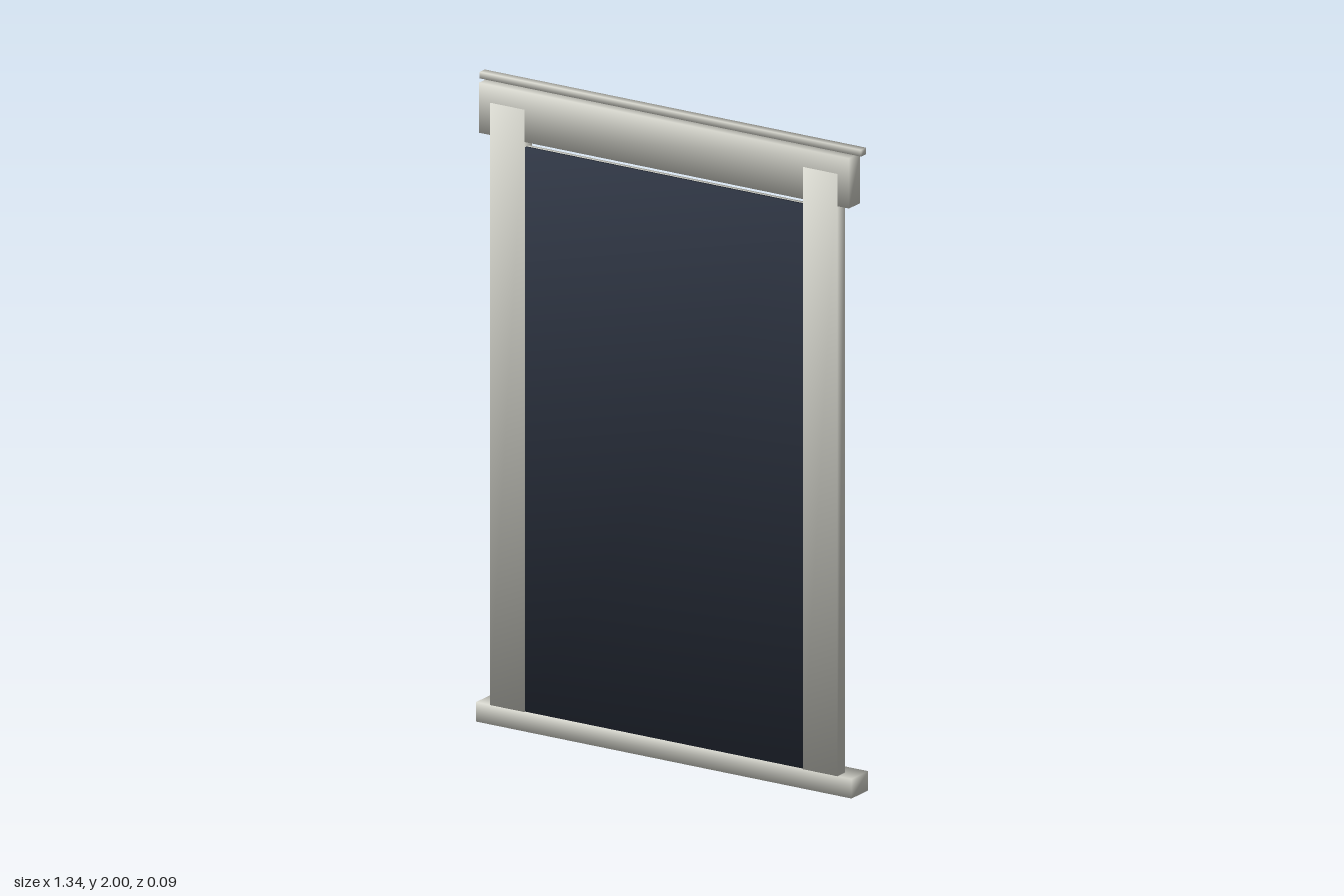
import * as THREE from 'three';

// Box given by its min and max on each axis, with corner normals shared for soft shading
function softBox(name, material, [x0, x1], [y0, y1], [z0, z1]) {
  const geo = new THREE.BoxGeometry(x1 - x0, y1 - y0, z1 - z0);
  const pos = geo.attributes.position;
  const normal = geo.attributes.normal;
  const n = new THREE.Vector3();
  for (let i = 0; i < pos.count; i++) {
    n.set(Math.sign(pos.getX(i)), Math.sign(pos.getY(i)), Math.sign(pos.getZ(i))).normalize();
    normal.setXYZ(i, n.x, n.y, n.z);
  }
  const mesh = new THREE.Mesh(geo, material);
  mesh.name = name;
  mesh.position.set((x0 + x1) / 2, (y0 + y1) / 2, (z0 + z1) / 2);
  return mesh;
}

export function createModel() {
  const model = new THREE.Group();
  model.name = 'window';

  const paint = new THREE.MeshStandardMaterial({ color: 0xdcdcd3 });
  paint.name = 'off-white paint';
  const glass = new THREE.MeshStandardMaterial({ color: 0x2f3644 });
  glass.name = 'dark glass';

  // Sill, header and the thin cap moulding above it
  model.add(
    softBox('sill', paint, [-0.66, 0.66], [0, 0.06], [-0.045, 0.045]),
    softBox('header', paint, [-0.65, 0.65], [1.825, 1.98], [-0.016, 0.0435]),
    softBox('cap', paint, [-0.67, 0.67], [1.98, 2], [-0.019, 0.009])
  );

  // Side casings, standing slightly proud of the header
  model.add(
    softBox('rightCasing', paint, [-0.61, -0.49], [0.06, 1.925], [0.002, 0.045]),
    softBox('leftCasing', paint, [0.49, 0.61], [0.06, 1.925], [0.002, 0.045])
  );

  // Glass pane, near the front
  model.add(softBox('glassPane', glass, [-0.49, 0.49], [0.06, 1.808], [0.031, 0.04]));

  // Sash behind the glass: two stiles and three rails
  const sash = new THREE.Group();
  sash.name = 'sash';
  sash.add(
    softBox('rightStile', paint, [-0.49, -0.43], [0.06, 1.808], [0.019, 0.031]),
    softBox('leftStile', paint, [0.43, 0.49], [0.06, 1.808], [0.019, 0.031])
  );
  const rails = { bottomRail: [0.06, 0.13], middleRail: [0.905, 0.98], topRail: [1.745, 1.808] };
  for (const [name, span] of Object.entries(rails)) {
    sash.add(softBox(name, paint, [-0.489, 0.489], span, [0.017, 0.031]));
  }
  model.add(sash);

  return model;
}
